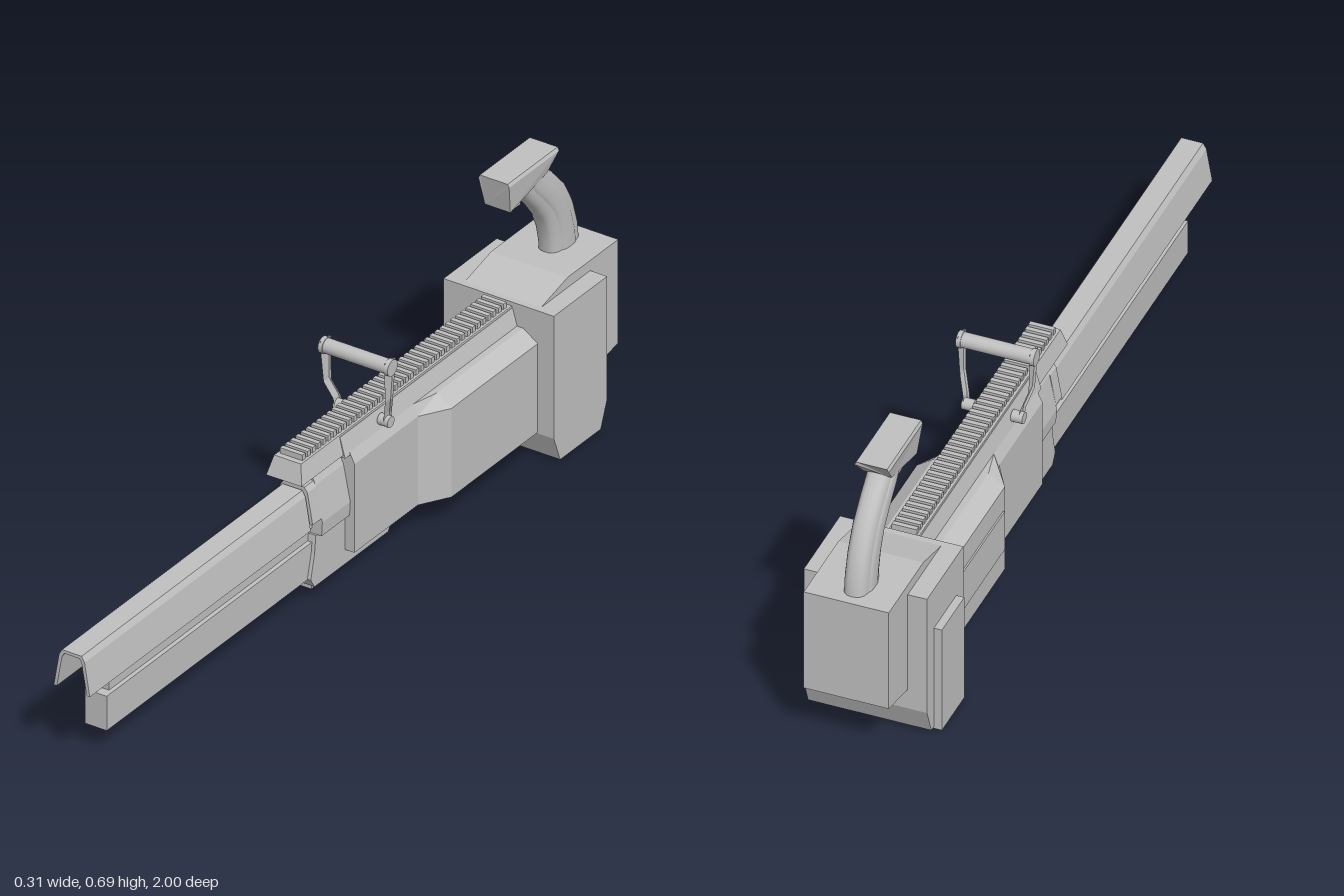
import * as THREE from 'three';
import { mergeVertices } from 'three/addons/utils/BufferGeometryUtils.js';

const CX = 0.007; // centre line of the barrel and body

export function createModel() {
  const model = new THREE.Group();
  model.name = 'heavyLauncher';
  const grey = new THREE.MeshStandardMaterial({ color: 0xc0c0c0 });
  grey.name = 'plainGrey';

  const add = (name, geo, parent = model) => {
    const mesh = new THREE.Mesh(geo, grey);
    mesh.name = name;
    parent.add(mesh);
    return mesh;
  };
  const box = (name, x0, x1, y0, y1, z0, z1, parent) => {
    const mesh = add(name, new THREE.BoxGeometry(x1 - x0, y1 - y0, z1 - z0), parent);
    mesh.position.set((x0 + x1) / 2, (y0 + y1) / 2, (z0 + z1) / 2);
    return mesh;
  };
  // outline of [z, y] points, extruded across x
  const sideShape = (name, pts, x0, x1) => {
    const shape = new THREE.Shape(pts.map(([z, y]) => new THREE.Vector2(-z, y)));
    const geo = new THREE.ExtrudeGeometry(shape, { depth: x1 - x0, bevelEnabled: false });
    geo.rotateY(Math.PI / 2).translate(x0, 0, 0);
    return add(name, geo);
  };
  // outline of [x, y] points about the centre line, extruded along z
  const frontShape = (name, pts, z0, z1) => {
    const shape = new THREE.Shape(pts.map(([x, y]) => new THREE.Vector2(x + CX, y)));
    const geo = new THREE.ExtrudeGeometry(shape, { depth: z1 - z0, bevelEnabled: false });
    geo.translate(0, 0, z0);
    return add(name, geo);
  };
  // skin over equal-length sections, counter-clockwise as seen from the first end
  const loft = (sections, smooth = false) => {
    const pos = [];
    const tri = (a, b, c) => pos.push(...a, ...b, ...c);
    const n = sections[0].length;
    for (let i = 0; i < sections.length - 1; i++) {
      for (let j = 0; j < n; j++) {
        const k = (j + 1) % n, s = sections[i], t = sections[i + 1];
        tri(s[j], t[j], t[k]);
        tri(s[j], t[k], s[k]);
      }
    }
    if (!smooth) {
      const f = sections[0], b = sections[sections.length - 1];
      for (let j = 1; j < n - 1; j++) {
        tri(f[0], f[j], f[j + 1]);
        tri(b[0], b[j + 1], b[j]);
      }
    }
    let geo = new THREE.BufferGeometry();
    geo.setAttribute('position', new THREE.Float32BufferAttribute(pos, 3));
    if (smooth) geo = mergeVertices(geo, 1e-5);
    geo.computeVertexNormals();
    return geo;
  };

  // barrel: open shroud over an upper core, a web and a lower bar
  frontShape('barrelShroud', [
    [-0.048, 0.197], [-0.040, 0.197], [-0.026, 0.276], [-0.020, 0.286], [0.020, 0.286], [0.026, 0.276],
    [0.040, 0.197], [0.048, 0.197], [0.034, 0.280], [0.026, 0.294], [-0.026, 0.294], [-0.034, 0.280],
  ], 0.13, 1.0);
  box('upperCore', CX - 0.025, CX + 0.025, 0.178, 0.26, 0.05, 0.9);
  box('barrelWeb', CX - 0.018, CX + 0.018, 0.14, 0.18, 0.05, 0.88);
  box('lowerBar', CX - 0.029, CX + 0.029, 0.058, 0.146, 0.05, 0.905);

  // housing between the barrel and the body
  sideShape('lowerHousing', [
    [0.115, 0.06], [0.1, 0.045], [-0.05, 0.045], [-0.05, 0.165], [0.095, 0.165], [0.1, 0.12],
  ], CX - 0.038, CX + 0.038);
  frontShape('upperHousing', [
    [-0.05, 0.165], [0.05, 0.165], [0.052, 0.2], [0.034, 0.29], [0.026, 0.308], [-0.026, 0.308],
    [-0.034, 0.29], [-0.052, 0.2],
  ], -0.05, 0.09);
  frontShape('housingCollar', [
    [-0.05, 0.21], [0.05, 0.21], [0.036, 0.288], [0.028, 0.3], [-0.028, 0.3], [-0.036, 0.288],
  ], 0.09, 0.125);
  sideShape('bellyPlate', [
    [0.115, 0.06], [0.1, 0.036], [-0.19, 0.036], [-0.22, 0.075], [0.0, 0.075],
  ], CX - 0.038, CX + 0.038);
  box('bellyStrip', CX - 0.026, CX + 0.026, 0.024, 0.04, -0.175, 0.095);

  // body that widens towards the rear
  const bodySection = ([z, w, t]) => [
    [-w, 0.073], [w, 0.073], [w, 0.3], [t, 0.327], [-t, 0.327], [-w, 0.3],
  ].map(([x, y]) => [x + CX, y, z]);
  add('body', loft([
    [-0.02, 0.063, 0.05], [-0.27, 0.063, 0.05], [-0.34, 0.105, 0.066], [-0.69, 0.105, 0.066],
  ].map(bodySection)));
  box('sidePanel', -0.102, -0.09, 0.135, 0.24, -0.64, -0.35);

  // top rail with a sloping nose and a row of teeth
  frontShape('railBase', [[-0.052, 0.32], [0.052, 0.32], [0.038, 0.37], [-0.038, 0.37]], -0.69, 0.0);
  const railEnd = (zLow, zHigh) => [
    [-0.047, 0.327, zLow], [0.047, 0.327, zLow], [0.036, 0.374, zHigh], [-0.036, 0.374, zHigh],
  ].map(([x, y, z]) => [x + CX, y, z]);
  add('railNose', loft([railEnd(0.165, 0.15), railEnd(-0.69, -0.69)]));
  const teeth = new THREE.Group();
  teeth.name = 'railTeeth';
  model.add(teeth);
  for (let i = 0; i < 40; i++) {
    const z = 0.13 - i * 0.0203;
    box('railTooth', CX - 0.03, CX + 0.03, 0.37, 0.388, z - 0.006, z + 0.006, teeth);
  }

  // carrying handle: bar, two bent arms and their pivots
  const rod = (name, r, x0, x1, y, z, sides = 20) => {
    const mesh = add(name, new THREE.CylinderGeometry(r, r, x1 - x0, sides));
    mesh.rotation.z = Math.PI / 2;
    mesh.position.set((x0 + x1) / 2, y, z);
  };
  rod('handleBar', 0.018, CX - 0.092, CX + 0.092, 0.504, -0.126);
  for (const s of [-1, 1]) {
    const armSection = ([x, y, z, h]) => [
      [x - 0.003, y, z - h], [x + 0.003, y, z - h], [x + 0.003, y, z + h], [x - 0.003, y, z + h],
    ].map(([a, b, c]) => [CX + a, b, c]);
    add('handleArm', loft([
      [s * 0.064, 0.34, -0.149, 0.012], [s * 0.068, 0.37, -0.144, 0.011],
      [s * 0.082, 0.415, -0.128, 0.011], [s * 0.086, 0.52, -0.126, 0.018],
    ].map(armSection).reverse()));
    const a = CX + s * 0.045, b = CX + s * 0.073;
    rod('handlePivot', 0.014, Math.min(a, b), Math.max(a, b), 0.348, -0.149, 16);
    const c = CX + s * 0.082, d = CX + s * 0.093;
    rod('handleCap', 0.02, Math.min(c, d), Math.max(c, d), 0.504, -0.126);
  }

  // rear block, its side plate and the block behind it
  sideShape('rearBlock', [
    [-0.68, 0.384], [-0.68, 0.07], [-0.705, 0.005], [-0.865, 0.005], [-0.89, 0.07], [-0.89, 0.384],
  ], -0.139, 0.155);
  box('rearSidePlate', -0.158, -0.13, 0.0, 0.277, -0.85, -0.72);
  box('rearBottomPlate', -0.158, 0.07, 0.0, 0.03, -0.85, -0.72);
  sideShape('backBlock', [
    [-0.68, 0.38], [-0.8, 0.41], [-1.0, 0.41], [-1.0, 0.145], [-0.88, 0.12], [-0.7, 0.12],
  ], CX - 0.1, CX + 0.103);

  // curved grip: rounded sections along a bent path of [z, y, half depth]
  const path = [
    [-0.921, 0.4, 0.056], [-0.917, 0.44, 0.055], [-0.903, 0.49, 0.053], [-0.878, 0.54, 0.05],
    [-0.84, 0.585, 0.047], [-0.805, 0.62, 0.044], [-0.78, 0.655, 0.04],
  ];
  const gripGeometry = (halfWidth, depthScale) => loft(path.map(([z, y, h], i) => {
    const p = path[Math.max(i - 1, 0)], q = path[Math.min(i + 1, path.length - 1)];
    const len = Math.hypot(q[0] - p[0], q[1] - p[1]);
    const nz = (q[1] - p[1]) / len, ny = -(q[0] - p[0]) / len;
    return Array.from({ length: 24 }, (_, j) => {
      const a = j / 24 * Math.PI * 2, c = Math.cos(a), s = Math.sin(a);
      const u = Math.sign(c) * Math.abs(c) ** 0.7 * halfWidth;
      const v = Math.sign(s) * Math.abs(s) ** 0.7 * h * depthScale;
      return [CX - 0.002 + u, y + ny * v, z + nz * v];
    });
  }), true);
  add('grip', gripGeometry(0.03, 1));
  add('gripPanel', gripGeometry(0.034, 0.65));

  // head on top of the grip, with a small trigger below
  const headEnd = (zLow, yLow, zHigh) => [
    [-0.034, yLow, zLow], [0.034, yLow, zLow], [0.041, 0.684, zHigh], [0.037, 0.692, zHigh],
    [-0.037, 0.692, zHigh], [-0.041, 0.684, zHigh],
  ].map(([x, y, z]) => [x + CX - 0.002, y, z]);
  add('gripHead', loft([headEnd(-0.68, 0.611, -0.665), headEnd(-0.825, 0.643, -0.862)]));
  box('trigger', CX - 0.016, CX + 0.008, 0.588, 0.635, -0.755, -0.72);

  return model;
}
